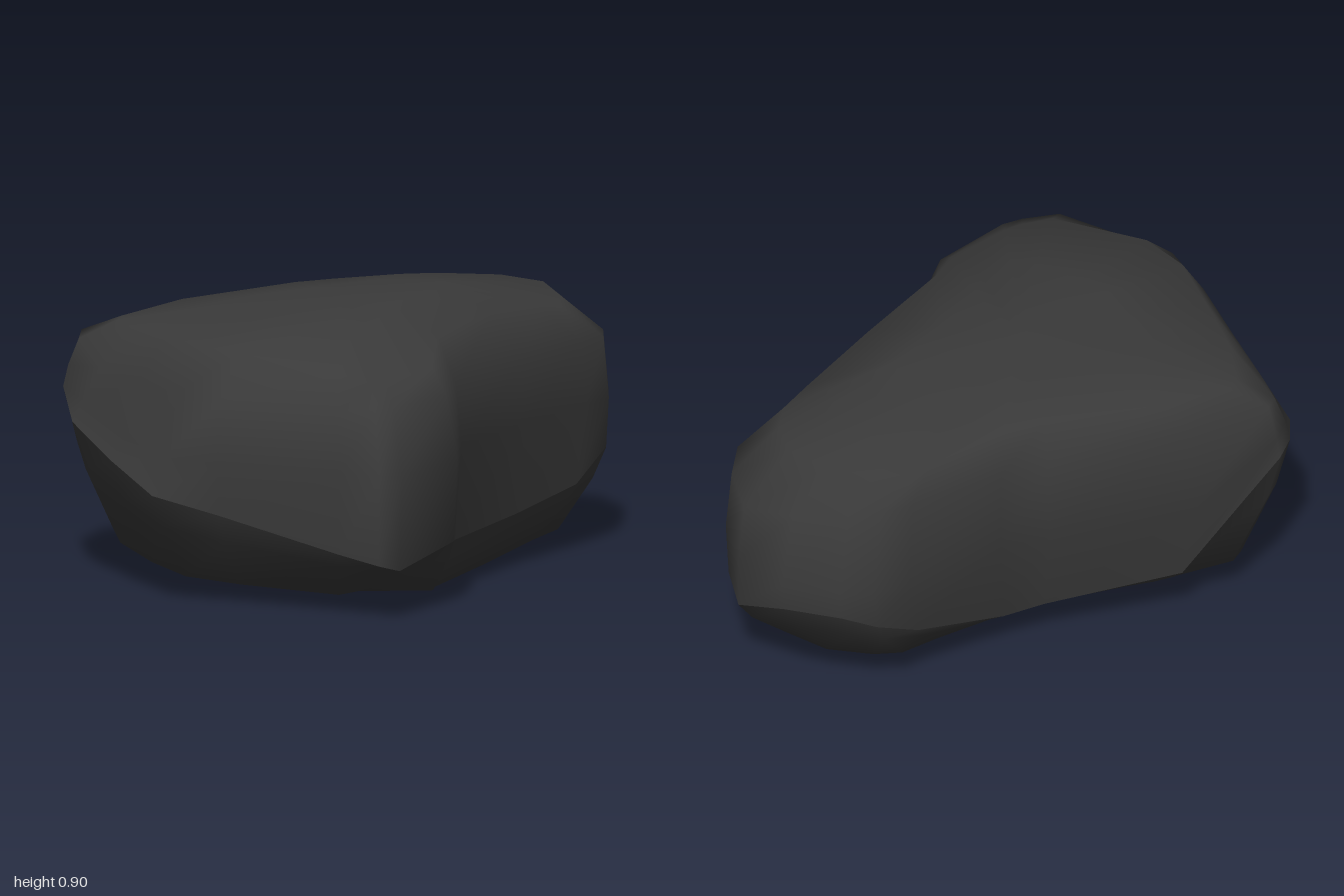
import * as THREE from 'three';
import { mergeVertices } from 'three/addons/utils/BufferGeometryUtils.js';

// Widest outline seen from above: x, z, height of the lower crease,
// crease scale, and how far the wall leans inwards above it.
const OUTLINE = [
  [-1.00, 0.10, 0.36, 1.00, 1.0],
  [-0.97, -0.20, 0.43, 1.00, 0.9],
  [-0.93, -0.50, 0.51, 1.00, 0.7],
  [-0.84, -0.70, 0.59, 1.00, 0.3],
  [-0.78, -0.755, 0.57, 1.00, 0.2],
  [-0.47, -0.785, 0.20, 0.92, 0.1],
  [0.03, -0.735, 0.15, 0.84, 0],
  [0.20, -0.73, 0.14, 0.84, 0],
  [0.55, -0.79, 0.25, 0.92, 0.1],
  [0.68, -0.80, 0.34, 0.98, 0.2],
  [0.78, -0.755, 0.38, 0.99, 0.2],
  [0.93, -0.63, 0.38, 0.99, 0.2],
  [1.00, -0.44, 0.30, 1.00, 0],
  [0.96, -0.25, 0.29, 0.99, 0],
  [0.88, -0.12, 0.32, 0.99, 0],
  [0.75, -0.05, 0.22, 0.96, 0],
  [0.40, 0.14, 0.18, 0.95, 0],
  [-0.02, 0.42, 0.17, 0.95, 0.2],
  [-0.17, 0.635, 0.21, 0.97, 0.6],
  [-0.48, 0.795, 0.16, 0.96, 1.0],
  [-0.55, 0.77, 0.18, 0.97, 0.8],
  [-0.63, 0.65, 0.21, 0.98, 0],
  [-0.87, 0.29, 0.31, 0.99, -0.1],
];
const CX = -0.1, CZ = -0.2;

// Gently domed top, lower towards the front and its left flank
const roof = (x, z) => 0.9 - (x < 0 ? 0.12 : 0.07) * x * x
  - (z > 0 ? 0.32 : 0.09) * z * z - 0.9 * Math.max(0, 0.54 * x + 0.8 * z) ** 2;

// Underside, low in the middle and rising to every side
const floor = (x, z) => Math.hypot(
  Math.max(0, (-0.27 - x) * 0.13, (x - 0.15) * 0.1),
  Math.max(0, (0.05 - z) * 0.17, (z - 0.4) * 0.42));

// A ring is the outline scaled about the centre, at a height given by a rule
function ring(scaleOf, heightOf) {
  return OUTLINE.map(([px, pz, crease, creaseScale, lean]) => {
    const s = scaleOf(creaseScale, lean);
    const x = CX + (px - CX) * s, z = CZ + (pz - CZ) * s;
    return [x, heightOf(x, z, crease), z];
  });
}

// Skin a list of rings, ordered along the surface from low to high
function skin(rings) {
  const n = OUTLINE.length, index = [];
  for (let r = 0; r < rings.length - 1; r++) {
    for (let j = 0; j < n; j++) {
      const k = (j + 1) % n;
      const a = r * n + j, b = r * n + k, c = a + n, d = b + n;
      index.push(a, c, b, b, c, d);
    }
  }
  const geometry = new THREE.BufferGeometry();
  geometry.setAttribute('position', new THREE.Float32BufferAttribute(rings.flat(2), 3));
  geometry.setIndex(index);
  const merged = mergeVertices(geometry);
  merged.computeVertexNormals();
  return merged;
}

export function createModel() {
  const group = new THREE.Group();
  group.name = 'rock';
  const material = new THREE.MeshStandardMaterial({ color: 0x3a3a3a });

  const crease = ring((c) => c, (x, z, y) => y);

  // Underside, from its lowest middle out to the crease
  const underside = [
    ring(() => 0, floor),
    ring((c) => c * 0.45, floor),
    ring((c) => c * 0.82, floor),
    ring((c) => c * 0.95, (x, z, y) => floor(x, z) * 0.4 + y * 0.6),
    crease,
  ];

  // Walls and top, from the crease up; the back wall stays steep for longer
  const upper = [
    crease,
    ring((c, lean) => (c === 1 ? 1 - 0.06 * lean : 1), (x, z, y) => Math.max(0.48, y + 0.07)),
    ring((c, lean) => 0.98 - 0.12 * lean, (x, z) => 0.68 + 0.3 * Math.max(0, -0.45 - z)),
    ring((c, lean) => 0.82 - 0.06 * lean, roof),
    ring(() => 0.42, roof),
    ring(() => 0, roof),
  ];

  for (const [name, rings] of [['underside', underside], ['upperStone', upper]]) {
    const mesh = new THREE.Mesh(skin(rings), material);
    mesh.name = name;
    group.add(mesh);
  }
  return group;
}
